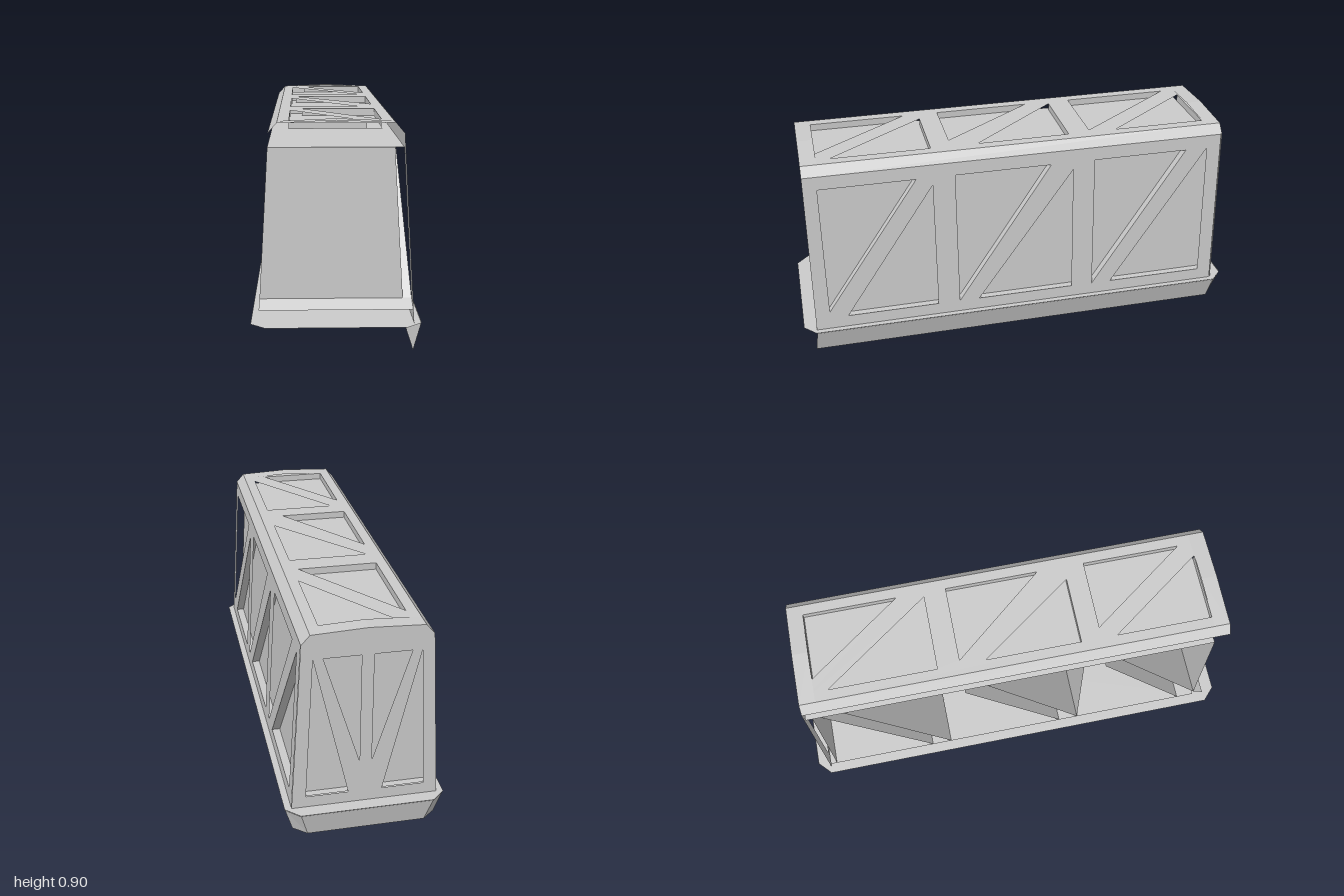
import * as THREE from 'three';

const material = new THREE.MeshStandardMaterial({ color: 0xcccccc, flatShading: true, side: THREE.DoubleSide });

// Half width of the tapering body at height y
const halfWidth = (y) => 0.305 - (y - 0.1) * 0.06;
const FLOOR = 0.157, CEILING = 0.79, INSET = 0.035;

const points2D = (list) => list.map(([u, v]) => new THREE.Vector2(u, v));

function addMesh(group, geometry, name) {
  const flat = geometry.index ? geometry.toNonIndexed() : geometry;
  flat.computeVertexNormals();
  const mesh = new THREE.Mesh(flat, material);
  mesh.name = name;
  group.add(mesh);
}

// Flat outline with optional holes, placed in space by map(u, v)
function addFace(group, name, outline, holes, map) {
  const shape = new THREE.Shape(points2D(outline));
  holes.forEach((h) => shape.holes.push(new THREE.Path(points2D(h))));
  const geometry = new THREE.ShapeGeometry(shape);
  const p = geometry.attributes.position;
  for (let i = 0; i < p.count; i++) p.setXYZ(i, ...map(p.getX(i), p.getY(i)));
  addMesh(group, geometry, name);
}

// Strip of quads between two matching rows of points
function addStrip(group, name, a, b) {
  const verts = [];
  for (let i = 0; i < a.length - 1; i++) {
    verts.push(...a[i], ...b[i], ...b[i + 1], ...a[i], ...b[i + 1], ...a[i + 1]);
  }
  const geometry = new THREE.BufferGeometry();
  geometry.setAttribute('position', new THREE.Float32BufferAttribute(verts, 3));
  addMesh(group, geometry, name);
}

export function createModel() {
  const model = new THREE.Group();
  model.name = 'trussedContainer';

  // Long wall with three pairs of triangular openings and a panel behind them
  const upper = [
    [[0.88, 0.79], [0.46, 0.79], [0.88, 0.19]],
    [[0.29, 0.79], [-0.14, 0.79], [0.29, 0.16]],
    [[-0.34, 0.79], [-0.77, 0.79], [-0.34, 0.16]],
  ];
  const lower = [
    [[0.39, 0.16], [0.39, 0.755], [0.8, 0.16]],
    [[-0.24, 0.16], [-0.24, 0.755], [0.2, 0.16]],
    [[-0.87, 0.16], [-0.87, 0.79], [-0.43, 0.16]],
  ];
  const side = new THREE.Group();
  side.name = 'sideWall';
  addFace(side, 'sideFrame', [[0.945, 0.1], [-0.935, 0.1], [-0.935, 0.85], [0.94, 0.85]],
    [...upper, ...lower], (z, y) => [halfWidth(y), y, z]);
  addFace(side, 'sidePanel', [[0.88, FLOOR], [-0.9, FLOOR], [-0.9, CEILING], [0.88, CEILING]],
    [], (z, y) => [halfWidth(y) - INSET, y, z]);
  model.add(side);

  // Inner braces crossing the body to the open side
  const inner = new THREE.Group();
  inner.name = 'innerBracing';
  const across = (name, line, inset) => addStrip(inner, name,
    line.map(([z, y]) => [halfWidth(y) - inset, y, z]), line.map(([z, y]) => [-halfWidth(y), y, z]));
  for (const [top, apex, foot] of upper) {
    across('bulkhead', [top, foot], INSET);
    across('slopingBrace', [apex, foot], 0);
  }
  for (const [, apex, foot] of lower) across('slopingBrace', [apex, foot], 0);
  across('innerFloor', [[-0.935, FLOOR], [0.88, FLOOR]], 0);
  across('innerCeiling', [[-0.935, CEILING], [0.88, CEILING]], 0);
  across('frontSill', [[0.88, 0.19], [0.93, FLOOR]], 0);
  model.add(inner);

  // End wall with openings around a V brace and a centre post
  const endTriangles = [1, -1].flatMap((s) => [
    [[s * 0.215, 0.785], [s * 0.245, 0.157], [s * 0.07, 0.157]],
    [[s * 0.175, 0.785], [s * 0.025, 0.785], [s * 0.025, 0.3]],
  ]);
  const endOutline = [[-0.305, 0.1], [0.305, 0.1], [0.26, 0.85], [0.225, 0.89], [0, 0.9],
    [-0.225, 0.89], [-0.26, 0.85]];
  const end = new THREE.Group();
  end.name = 'endWall';
  addFace(end, 'endFrame', endOutline, endTriangles, (x, y) => [x, y, -0.94]);
  addFace(end, 'endPanel', [[-0.3, FLOOR], [0.3, FLOOR], [0.263, CEILING], [-0.263, CEILING]],
    [], (x, y) => [x, y, -0.94 + INSET]);
  model.add(end);

  // Roof with diagonal braces over a sunken panel, bevelled long edges and crowned ends
  const roofTriangles = [
    [[-0.18, -0.81], [-0.18, -0.34], [0.16, -0.34]],
    [[0.18, -0.46], [0.18, -0.87], [-0.12, -0.87]],
    [[-0.18, -0.13], [-0.18, 0.29], [0.12, 0.29]],
    [[0.18, 0.17], [0.18, -0.24], [-0.16, -0.24]],
    [[-0.18, 0.45], [-0.18, 0.87], [0.12, 0.87]],
    [[0.18, 0.81], [0.18, 0.38], [-0.13, 0.38]],
  ];
  const roof = new THREE.Group();
  roof.name = 'roof';
  addFace(roof, 'roofFrame', [[-0.225, -0.94], [0.225, -0.94], [0.225, 0.94], [-0.225, 0.94]],
    roofTriangles, (x, z) => [x, 0.89, z]);
  addFace(roof, 'roofPanel', [[-0.18, -0.87], [0.18, -0.87], [0.18, 0.87], [-0.18, 0.87]],
    [], (x, z) => [x, 0.86, z]);
  for (const tri of roofTriangles) {
    addStrip(roof, 'roofOpeningEdge', tri.map(([x, z]) => [x, 0.89, z]), tri.map(([x, z]) => [x, 0.86, z]));
  }
  const crown = [[-0.225, 0.89], [0, 0.9], [0.225, 0.89]];
  for (const s of [1, -1]) {
    addStrip(roof, 'roofBevel', [[s * 0.225, 0.89, -0.94], [s * 0.225, 0.89, 0.94]],
      [[s * 0.26, 0.85, -0.94], [s * 0.26, 0.85, 0.94]]);
    addStrip(roof, 'roofEndCrown', crown.map(([x, y]) => [x, y, s * 0.94]), crown.map(([x, y]) => [x, y, s * 0.87]));
  }
  model.add(roof);

  // Floor plate with clipped corners
  const base = new THREE.Group();
  base.name = 'base';
  addFace(base, 'floorPlate', [[0.333, 0.945], [0.333, -0.945], [0.275, -1], [-0.275, -1], [-0.333, -0.945],
    [-0.333, 0.945], [-0.275, 1], [0.275, 1]], [], (x, z) => [x, 0.107, z]);

  // Flared skirt under the closed side and end
  addStrip(base, 'skirt',
    [[0.333, 0.11, 0.945], [0.333, 0.11, -0.945], [0.275, 0.11, -1], [-0.275, 0.11, -1], [-0.333, 0.11, -0.945]],
    [[0.3, 0, 0.955], [0.3, 0, -0.93], [0.245, 0, -0.975], [-0.245, 0, -0.975], [-0.3, 0, -0.93]]);
  model.add(base);

  return model;
}
